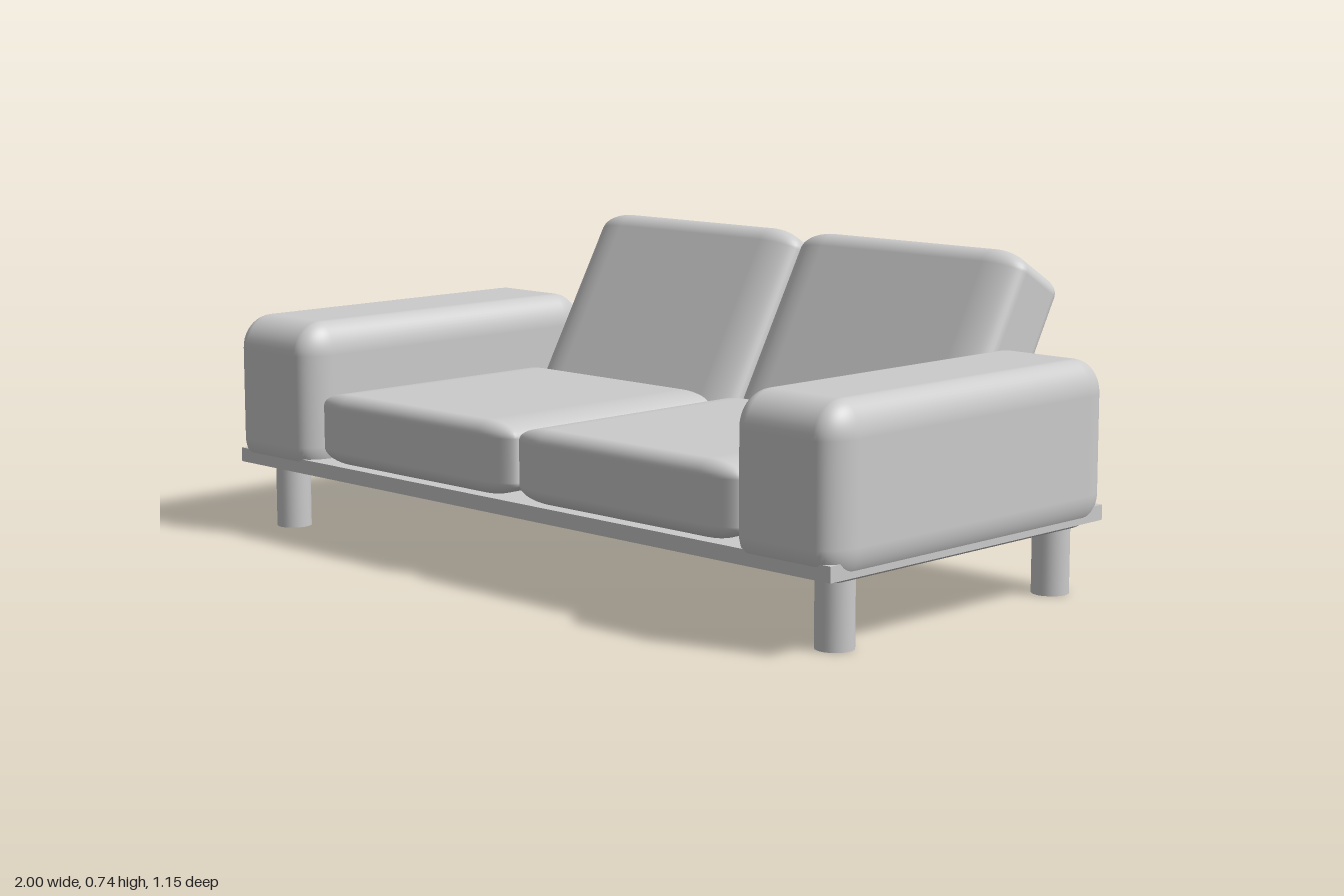
import * as THREE from 'three';
import { RoundedBoxGeometry } from 'three/addons/geometries/RoundedBoxGeometry.js';

const material = new THREE.MeshStandardMaterial({ color: 0xcccccc });

// Upholstered block with a different corner radius along each axis
function cushion(name, size, radii) {
  const [w, h, d] = size.map((s, i) => s / radii[i]);
  const geometry = new RoundedBoxGeometry(w, h, d, 6, 1).scale(...radii);
  return part(name, geometry);
}

function part(name, geometry) {
  const mesh = new THREE.Mesh(geometry, material);
  mesh.name = name;
  return mesh;
}

export function createModel() {
  const sofa = new THREE.Group();
  sofa.name = 'sofa';

  // Thin platform under everything
  const base = part('base', new THREE.BoxGeometry(1.976, 0.035, 0.916));
  base.position.set(0, 0.183, 0.108);
  sofa.add(base);

  // Back cushions lean back 30 degrees; these are distances along the
  // leaning axes: up the cushion, and out through its front face
  const tilt = Math.PI / 6;
  const bottom = 0.31, top = 0.864, rear = -0.187, front = 0.027;
  const up = (bottom + top) / 2, out = (rear + front) / 2;

  for (const side of [-1, 1]) {
    const prefix = side > 0 ? 'left' : 'right';

    const arm = cushion(prefix + 'Arm', [0.297, 0.385, 0.934], [0.055, 0.08, 0.08]);
    arm.position.set(side * 0.8515, 0.3425, 0.108);

    const seat = cushion(prefix + 'SeatCushion', [0.699, 0.172, 0.69], [0.1, 0.035, 0.035]);
    seat.position.set(side * 0.354, 0.285, 0.209);

    const back = cushion(prefix + 'BackCushion',
      [0.699, top - bottom, front - rear], [0.1, 0.05, 0.05]);
    back.position.set(side * 0.354,
      up * Math.cos(tilt) + out * Math.sin(tilt),
      out * Math.cos(tilt) - up * Math.sin(tilt));
    back.rotation.x = -tilt;
    sofa.add(arm, seat, back);

    // Round legs under the arms
    for (const [end, z] of [['Front', 0.465], ['Back', -0.265]]) {
      const leg = part(prefix + end + 'Leg', new THREE.CylinderGeometry(0.043, 0.043, 0.17, 32));
      leg.position.set(side * 0.911, 0.085, z);
      sofa.add(leg);
    }
  }
  return sofa;
}
